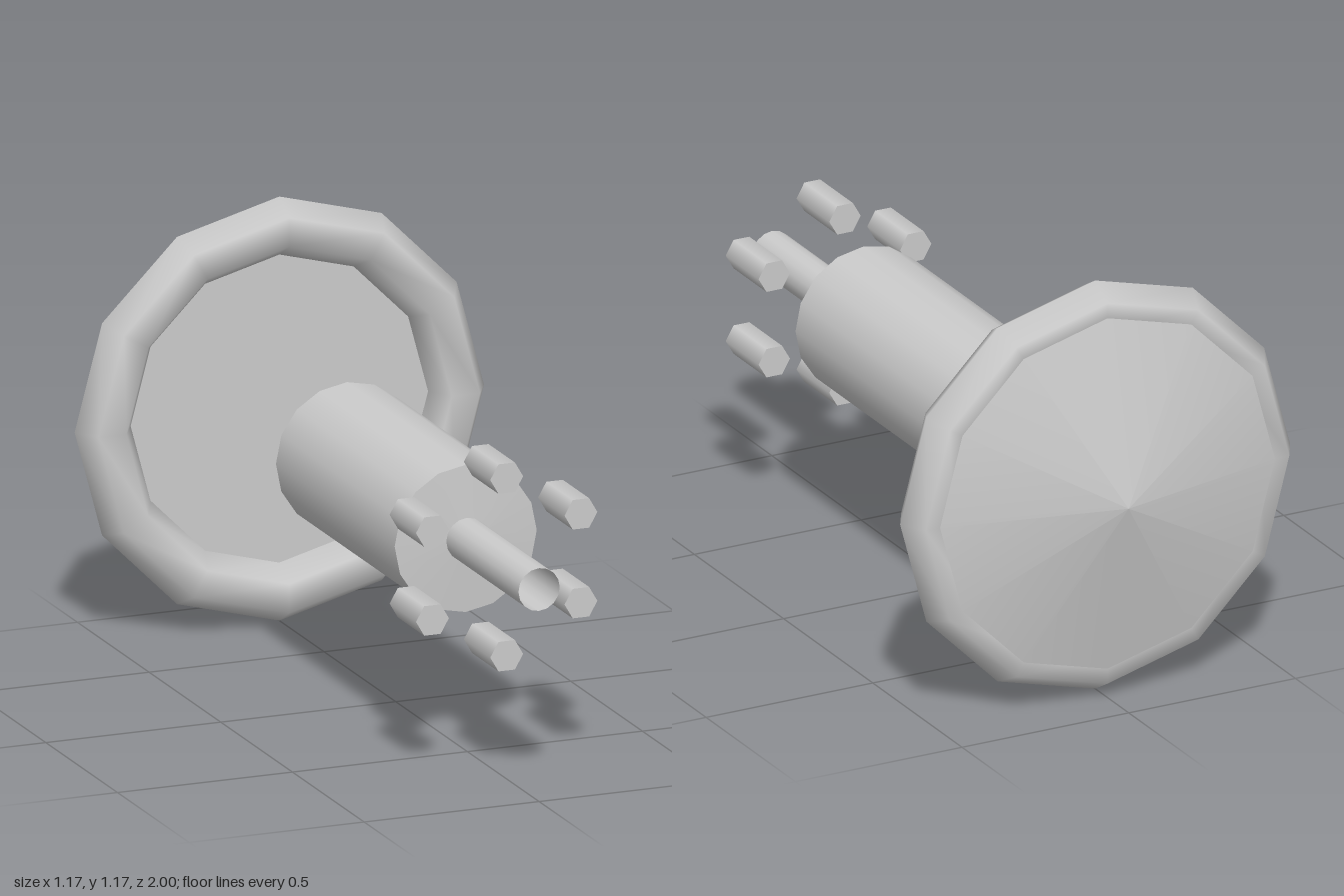
import * as THREE from 'three';

export function createModel() {
  const model = new THREE.Group();
  const axis = new THREE.Group();
  axis.name = 'assembly';
  axis.position.y = 0.587;
  model.add(axis);

  const grey = new THREE.MeshStandardMaterial({ color: 0xcccccc });
  const greyDouble = new THREE.MeshStandardMaterial({ color: 0xcccccc, side: THREE.DoubleSide });

  function add(name, geometry, x, y, z, material = grey) {
    const mesh = new THREE.Mesh(geometry, material);
    mesh.name = name;
    mesh.position.set(x, y, z);
    axis.add(mesh);
    return mesh;
  }

  // Cylinder lying along z, placed between two z values
  function rod(name, radius, z0, z1, sides, { x = 0, y = 0, open = false, start = 0 } = {}) {
    const g = new THREE.CylinderGeometry(radius, radius, z1 - z0, sides, 1, open, start);
    g.rotateX(Math.PI / 2);
    return add(name, g, x, y, (z0 + z1) / 2, open ? greyDouble : grey);
  }

  // Twelve-sided rim with a hexagonal section
  add('rim', new THREE.TorusGeometry(0.505, 0.08, 6, 12), 0, 0, -0.812);

  // Shallow cone closing the back of the rim, flat towards the front
  const cone = new THREE.ConeGeometry(0.55, 0.13, 12);
  cone.rotateX(-Math.PI / 2);
  add('backCone', cone, 0, 0, -0.935);

  // Main barrel with a very slightly domed front face
  rod('barrel', 0.203, -0.34, 0.488, 16);
  const nose = new THREE.ConeGeometry(0.203, 0.012, 16, 1, true);
  nose.rotateX(Math.PI / 2);
  add('barrelFace', nose, 0, 0, 0.494);

  // Hollow shaft at the front
  rod('shaft', 0.059, 0.48, 1.0, 16, { open: true });

  // Six hexagonal pins around the shaft
  for (let i = 0; i < 6; i++) {
    const a = Math.PI / 2 + (i * Math.PI) / 3;
    rod('pin' + (i + 1), 0.047, 0.59, 0.774, 6, {
      x: 0.245 * Math.cos(a), y: 0.245 * Math.sin(a), start: Math.PI / 2,
    });
  }

  return model;
}
